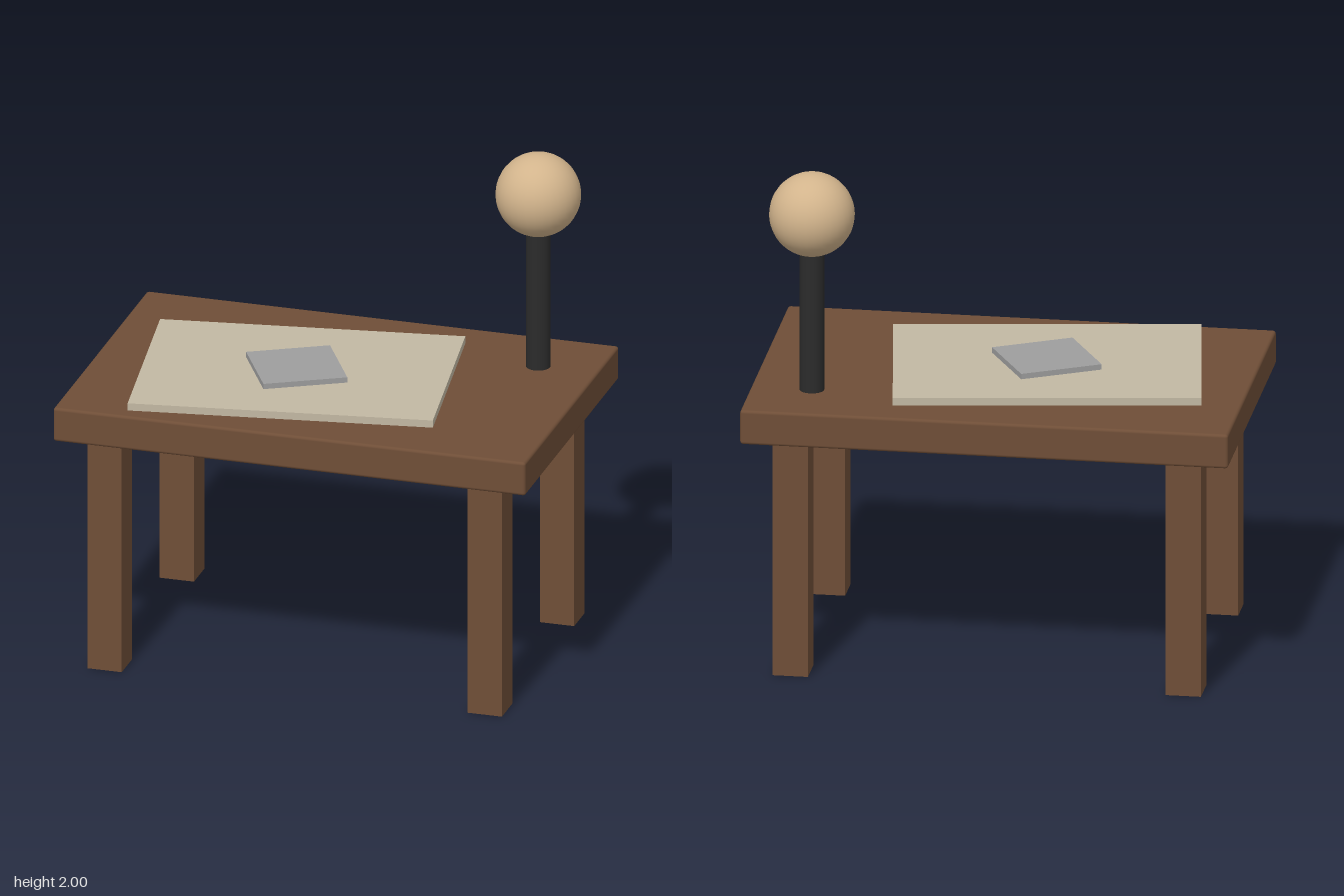
import * as THREE from 'three';
import { RoundedBoxGeometry } from 'three/addons/geometries/RoundedBoxGeometry.js';

function material(name, color) {
  const m = new THREE.MeshStandardMaterial({ color });
  m.name = name;
  return m;
}

export function createModel() {
  const model = new THREE.Group();
  model.name = 'tableWithLamp';

  const wood = material('brown wood', 0x6f4e37);
  const paper = material('parchment', 0xc2b8a3);
  const grey = material('grey', 0x9e9e9e);
  const black = material('black', 0x2b2b2b);
  const tan = material('tan', 0xd2b48c);

  function add(name, geometry, mat, x, y, z, turn = 0) {
    const mesh = new THREE.Mesh(geometry, mat);
    mesh.name = name;
    mesh.position.set(x, y, z);
    mesh.rotation.y = turn;
    model.add(mesh);
    return mesh;
  }

  // Table top with slightly softened edges
  add('tableTop', new RoundedBoxGeometry(1.92, 0.14, 1.25, 2, 0.012), wood, 0, 1.04, 0);

  // Four square legs
  const legGeometry = new THREE.BoxGeometry(0.14, 0.97, 0.14);
  for (const [xName, x] of [['Left', 0.773], ['Right', -0.773]]) {
    for (const [zName, z] of [['front', 0.481], ['back', -0.481]]) {
      add(zName + xName + 'Leg', legGeometry, wood, x, 0.485, z);
    }
  }

  // Sheet and small block lying askew on the table
  add('sheet', new THREE.BoxGeometry(1.2, 0.03, 0.866), paper, -0.147, 1.125, 0.045, 0.15);
  add('smallBlock', new THREE.BoxGeometry(0.333, 0.022, 0.333), grey, -0.146, 1.151, 0.045, 0.5);

  // Lamp: post and globe
  add('lampPost', new THREE.CylinderGeometry(0.048, 0.048, 0.6, 32), black, 0.72, 1.4, -0.336);
  add('lampGlobe', new THREE.SphereGeometry(0.167, 32, 24), tan, 0.72, 1.833, -0.336);

  return model;
}
